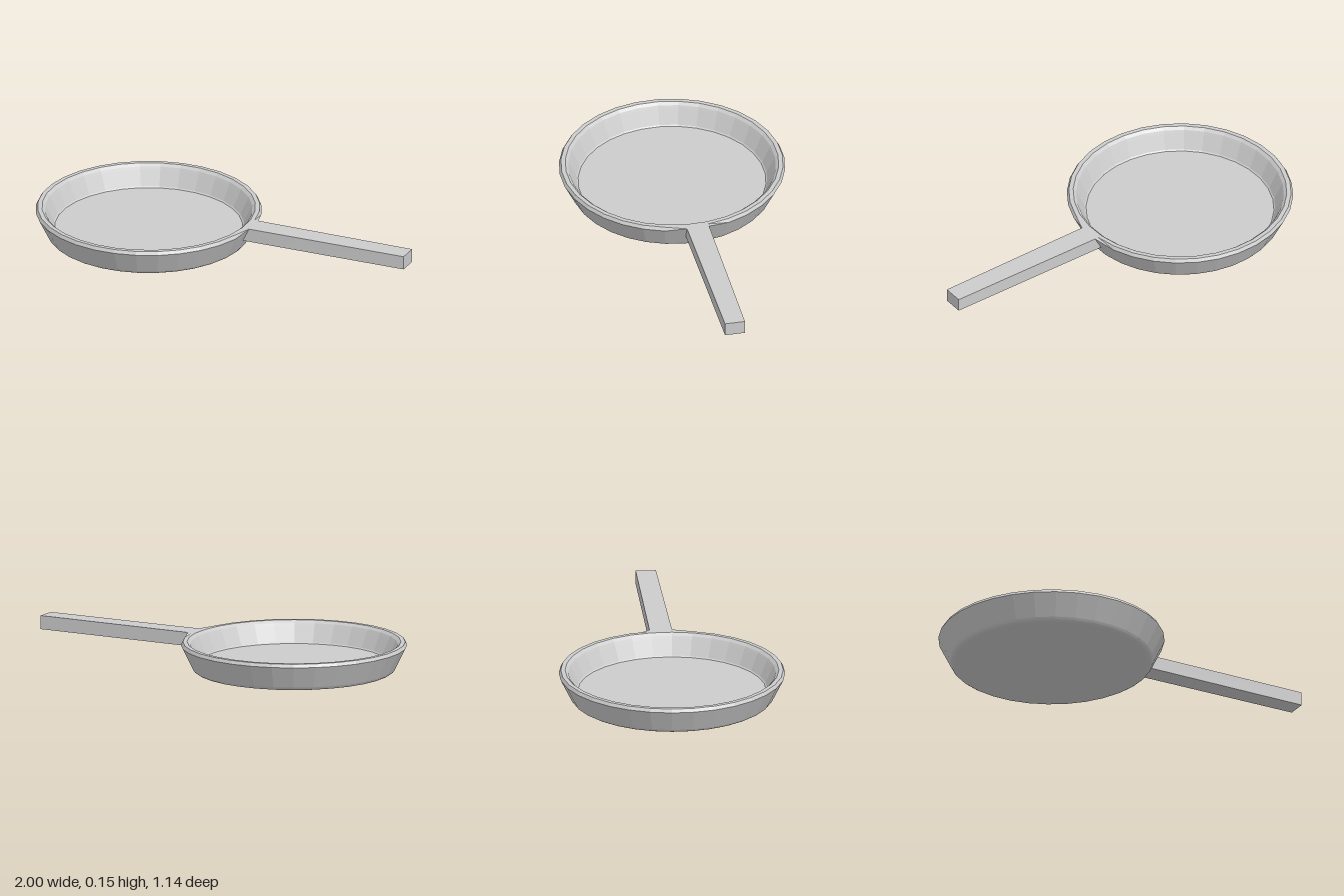
import * as THREE from 'three';

export function createModel() {
  const model = new THREE.Group();
  model.name = 'fryingPan';
  const material = new THREE.MeshStandardMaterial({ color: 0xcccccc, flatShading: true });

  // Bowl: one closed profile, underside -> outer wall -> rolled rim -> inner wall -> floor
  const profile = [
    [0, 0], [0.485, 0], [0.499, 0.003], [0.509, 0.009], [0.516, 0.019],
    [0.572, 0.132], [0.562, 0.149], [0.54, 0.149], [0.525, 0.136],
    [0.518, 0.122], [0.482, 0.046], [0.475, 0.04], [0, 0.04],
  ].map(([r, y]) => new THREE.Vector2(r, y));
  const rimEdge = 5;
  const segments = 32;
  const step = (Math.PI * 2) / segments;
  const bowlGeometry = new THREE.LatheGeometry(profile, segments, Math.PI / 2 + 0.026 + step / 2);

  // Lift the rim edge where the handle joins
  const bowlPos = bowlGeometry.attributes.position;
  for (const i of [0, segments - 1, segments]) {
    const v = i * profile.length + rimEdge;
    bowlPos.setXYZ(v, 0.578, 0.149, i === segments - 1 ? 0.043 : -0.071);
  }
  bowlGeometry.computeVertexNormals();
  const bowl = new THREE.Mesh(bowlGeometry, material);
  bowl.name = 'bowl';
  bowl.position.x = -0.43;
  model.add(bowl);

  // Handle: tapered bar whose root is cut to the slope of the wall
  const handleGeometry = new THREE.BoxGeometry(1, 1, 1);
  const pos = handleGeometry.attributes.position;
  for (let i = 0; i < pos.count; i++) {
    const tip = pos.getX(i) > 0;
    const top = pos.getY(i) > 0;
    const front = pos.getZ(i) > 0;
    const x = tip ? 1 : top ? 0.146 : 0.108;
    const z = tip ? (front ? 0.025 : -0.078) : (front ? 0.043 : -0.071);
    pos.setXYZ(i, x, top ? 0.149 : 0.079, z);
  }
  handleGeometry.computeVertexNormals();
  const handle = new THREE.Mesh(handleGeometry, material);
  handle.name = 'handle';
  model.add(handle);

  return model;
}
